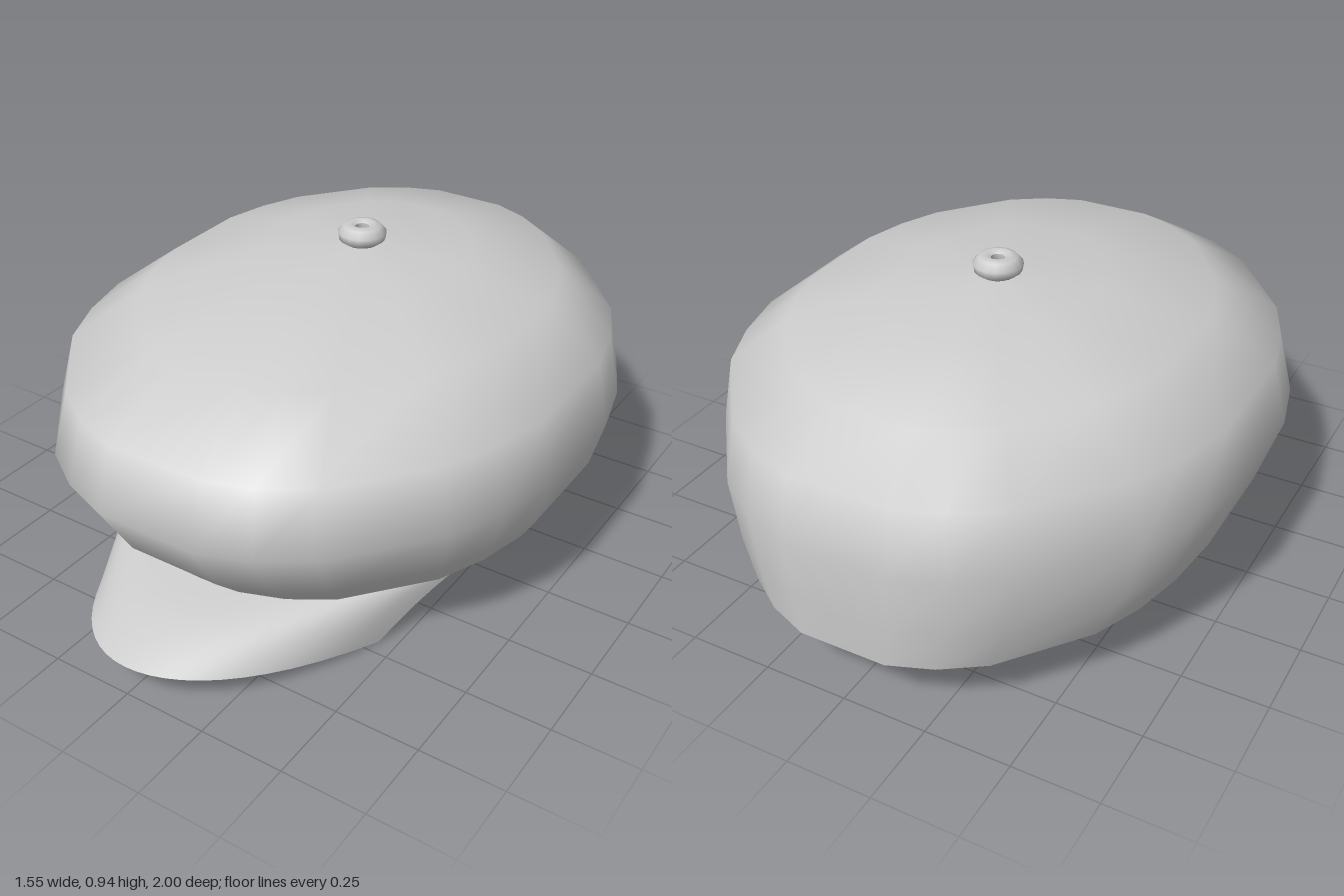
import * as THREE from 'three';

const cloth = new THREE.MeshStandardMaterial({ color: 0xcccccc, side: THREE.DoubleSide });
cloth.name = 'grey cloth';

// Skins a grid of points, rows of equal length, with shared smooth normals
function skin(rows, closed) {
  const n = rows[0].length, pos = rows.flat(2), idx = [];
  for (let r = 0; r < rows.length - 1; r++) {
    for (let i = 0; i < (closed ? n : n - 1); i++) {
      const j = (i + 1) % n;
      const a = r * n + i, b = r * n + j, c = a + n, d = b + n;
      idx.push(a, b, d, a, d, c);
    }
  }
  const g = new THREE.BufferGeometry();
  g.setAttribute('position', new THREE.Float32BufferAttribute(pos, 3));
  g.setIndex(idx);
  g.computeVertexNormals();
  return g;
}

// Faceted oval crown: rings of [y, half width, front z, back z]
function crownGeometry() {
  const rings = [
    [0.17, 0.65, 0.67, -0.99],
    [0.29, 0.72, 0.78, -0.995],
    [0.465, 0.775, 0.885, -1.0],
    [0.65, 0.735, 0.835, -0.97],
    [0.785, 0.56, 0.6, -0.81],
    [0.86, 0.29, 0.225, -0.51],
    [0.882, 0.02, -0.13, -0.17],
  ];
  const angles = [];
  for (let k = 0; k < 8; k++) for (const a of [11.25, 22.5, 33.75]) angles.push((k * 45 + a) * Math.PI / 180);
  const fit = 1 / Math.cos(Math.PI / 16);
  return skin(rings.map(([y, w, front, back], r) => angles.map((a) => [
    w * fit * Math.sin(a),
    y + (r === 0 ? 0.015 * Math.max(0, Math.cos(a)) ** 3 : 0),
    (front + back) / 2 + (front - back) / 2 * fit * Math.cos(a),
  ])), true);
}

// Drooping brim, from the crown's opening to the rounded outer edge
function brimGeometry() {
  const rows = [], across = 24, steps = 6;
  for (let r = 0; r <= steps; r++) {
    const t = 1 - r / steps, row = [];
    for (let i = 0; i <= across; i++) {
      const s = i / across * 2 - 1;
      const xi = 0.565 * s, xo = 0.45 * s;
      const inner = [xi, 0.185 - 0.025 * s * s, -0.16 + 0.84 * Math.sqrt(1 - (xi / 0.63) ** 2)];
      const outer = [xo, 0.1 - 0.095 * s * s, 1 - 2.24 * xo ** 2 - 2.2 * xo ** 4];
      const bulge = 0.012 * Math.sin(Math.PI * t);
      row.push([0, 1, 2].map((k) => inner[k] + (outer[k] - inner[k]) * t + (k === 1 ? bulge : 0)));
    }
    rows.push(row);
  }
  return skin(rows, false);
}

// Small ring-shaped button
function buttonGeometry() {
  const profile = [[0.02, 0.93], [0.02, 0.885], [0.05, 0.88], [0.068, 0.893], [0.072, 0.915],
    [0.055, 0.934], [0.035, 0.94], [0.02, 0.93]];
  return new THREE.LatheGeometry(profile.map(([x, y]) => new THREE.Vector2(x, y)), 16);
}

export function createModel() {
  const cap = new THREE.Group();
  cap.name = 'cap';
  const add = (name, geometry) => {
    const mesh = new THREE.Mesh(geometry, cloth);
    mesh.name = name;
    cap.add(mesh);
    return mesh;
  };
  add('crown', crownGeometry());
  add('brim', brimGeometry());
  add('button', buttonGeometry()).position.z = -0.15;
  return cap;
}
